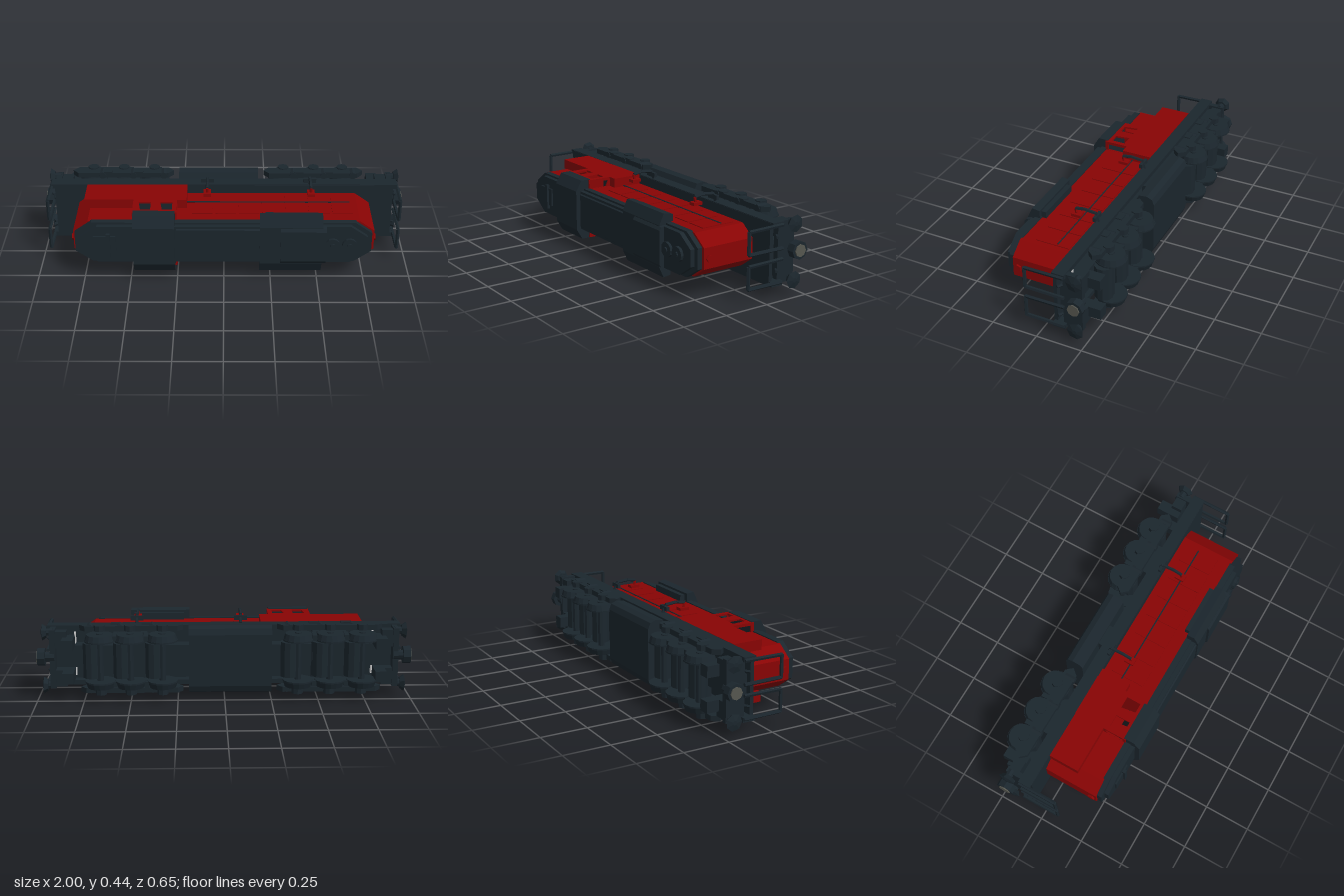
import * as THREE from 'three';

// The locomotive lies on its side: length along x, roof towards +z, wheels towards -z.
const MID = 0.22; // centre line in y
const mat = (color) => new THREE.MeshStandardMaterial({ color, flatShading: true, side: THREE.DoubleSide });

export function createModel() {
  const root = new THREE.Group();
  root.name = 'locomotive';
  const dark = mat(0x1b262d), red = mat(0x880404), steel = mat(0x55564f), grey = mat(0xcccccc);

  const add = (name, geo, m) => {
    const mesh = new THREE.Mesh(geo, m);
    mesh.name = name;
    root.add(mesh);
    return mesh;
  };
  const box = (name, m, x0, x1, y0, y1, z0, z1) =>
    add(name, new THREE.BoxGeometry(x1 - x0, y1 - y0, z1 - z0)
      .translate((x0 + x1) / 2, (y0 + y1) / 2, (z0 + z1) / 2), m);
  // Same box on both sides of the centre line; a and b are distances from it
  const pair = (name, m, x0, x1, a, b, z0, z1) => {
    box(name, m, x0, x1, MID + a, MID + b, z0, z1);
    box(name, m, x0, x1, MID - b, MID - a, z0, z1);
  };
  const toShape = (pts) => new THREE.Shape(pts.map(([a, b]) => new THREE.Vector2(a, b)));
  const extrude = (shape, depth) => new THREE.ExtrudeGeometry(shape, { depth, bevelEnabled: false });
  const alongX = new THREE.Matrix4().makeBasis(
    new THREE.Vector3(0, 1, 0), new THREE.Vector3(0, 0, 1), new THREE.Vector3(1, 0, 0));
  const alongY = new THREE.Matrix4().makeBasis(
    new THREE.Vector3(1, 0, 0), new THREE.Vector3(0, 0, 1), new THREE.Vector3(0, -1, 0));
  // Cross-section of (distance from centre line, z), mirrored, run along x
  const section = (name, m, half, x0, x1) => {
    const pts = [...half, ...half.slice().reverse().map(([a, z]) => [-a, z])];
    add(name, extrude(toShape(pts.map(([a, z]) => [a + MID, z])), x1 - x0).applyMatrix4(alongX).translate(x0, 0, 0), m);
  };
  // Side profile of (x, z), run across from y0 to y1
  const profile = (name, m, pts, y0, y1, holes = []) => {
    const s = toShape(pts);
    s.holes = holes.map((h) => toShape(h));
    add(name, extrude(s, y1 - y0).applyMatrix4(alongY).translate(0, y1, 0), m);
  };
  // Plan outline with chamfered ends (tip = half width of the end face), run upwards
  const plan = (name, m, x0, x1, half, tip, cut0, cut1, z0, z1) => {
    const side = [[x0, tip], [x0 + cut0, half], [x1 - cut1, half], [x1, tip]];
    const pts = [...side, ...side.slice().reverse().map(([x, a]) => [x, -a])];
    add(name, extrude(toShape(pts.map(([x, a]) => [x, a + MID])), z1 - z0).translate(0, 0, z0), m);
  };
  const rect = (a0, a1, b0, b1) => [[a0, b0], [a1, b0], [a1, b1], [a0, b1]];
  const rod = (name, m, pts, r) => {
    for (let i = 1; i < pts.length; i++) {
      const a = new THREE.Vector3(...pts[i - 1]), b = new THREE.Vector3(...pts[i]);
      const mesh = add(name, new THREE.CylinderGeometry(r, r, a.distanceTo(b), 5), m);
      mesh.position.copy(a).lerp(b, 0.5);
      mesh.quaternion.setFromUnitVectors(new THREE.Vector3(0, 1, 0), b.clone().sub(a).normalize());
    }
  };
  // r is the radius at the positive end of the axis, r2 at the negative end
  const disc = (name, m, x, y, z, r, len, axis, sides = 12, r2 = r) => {
    const g = new THREE.CylinderGeometry(r, r2, len, sides);
    if (axis === 'x') g.rotateZ(-Math.PI / 2);
    if (axis === 'z') g.rotateX(Math.PI / 2);
    add(name, g.translate(x, y, z), m);
  };

  // Hood and nose
  plan('engineHood', red, -0.25, 0.8, 0.113, 0.055, 0, 0.08, -0.068, 0.235);
  plan('nose', red, -0.8, -0.48, 0.113, 0.055, 0.08, 0, -0.068, 0.235);
  pair('noseShoulder', red, -0.75, -0.48, 0.11, 0.165, -0.068, 0.1);
  pair('cabinet', red, -0.25, -0.2, 0.11, 0.165, -0.068, 0.1);
  box('batteryBox', red, -0.03, 0.08, 0.058, 0.11, -0.068, 0.06);

  // Cab: side walls with two windows, end walls with a window each side of the hood
  const sideWindows = [[-0.455, -0.39], [-0.34, -0.275]].map(([a, b]) =>
    [[a, 0.125], [b, 0.125], [b, 0.205], [a + 0.012, 0.205]]);
  for (const y of [MID - 0.165, MID + 0.155])
    profile('cabSide', red, rect(-0.485, -0.25, -0.07, 0.235), y, y + 0.01, sideWindows);
  for (const x of [-0.485, -0.258]) {
    const s = toShape(rect(0.055, 0.385, -0.07, 0.235));
    s.holes = [1, -1].map((d) => toShape([[0.114, 0.125], [0.149, 0.11], [0.149, 0.215], [0.114, 0.215]]
      .map(([a, z]) => [MID + d * a, z])));
    add('cabEndWall', extrude(s, 0.008).applyMatrix4(alongX).translate(x, 0, 0), red);
  }
  box('cabFloor', dark, -0.48, -0.25, 0.06, 0.38, -0.07, 0);

  // Roof, tapered at both ends like the hood below it
  plan('roofEdge', dark, -0.79, 0.785, 0.118, 0.055, 0.09, 0.09, 0.228, 0.262);
  plan('roofTop', dark, -0.76, 0.76, 0.108, 0.045, 0.09, 0.09, 0.262, 0.287);
  section('cabRoof', dark, [[0.168, 0.222], [0.168, 0.28], [0.11, 0.314]], -0.48, -0.26);
  section('radiatorRoof', dark, [[0.162, 0.232], [0.168, 0.275], [0.11, 0.302]], 0.19, 0.52);
  section('roofHatch', dark, [[0.11, 0.28], [0.105, 0.303], [0.09, 0.314]], 0.3, 0.54);
  section('roofSpine', dark, [[0.1, 0.28], [0.09, 0.295]], -0.25, 0.19);
  pair('radiatorGrille', dark, 0.22, 0.5, 0.11, 0.15, 0.205, 0.24);
  for (const x of [0.575, 0.665]) {
    disc('roofFan', dark, x, MID, 0.29, 0.04, 0.024, 'z', 12);
    disc('fanHub', dark, x, MID, 0.3, 0.014, 0.018, 'z', 8);
  }
  box('noseVent', dark, -0.69, -0.57, 0.17, 0.27, 0.28, 0.296);
  box('horn', dark, -0.62, -0.6, 0.15, 0.29, 0.29, 0.308);
  for (const s of [-1, 1]) disc('headlamp', red, s * 0.8, MID, 0.205, 0.02, 0.02, 'x', 5);

  // Hood doors on both sides
  for (let i = 0; i < 7; i++) pair('hoodDoor', red, -0.17 + i * 0.125, -0.06 + i * 0.125, 0.112, 0.117, -0.03, 0.16);

  // Underframe and walkway
  box('walkway', dark, -0.93, 0.93, 0.058, 0.382, -0.088, -0.068);
  pair('sideSill', dark, -0.95, 0.95, 0.14, 0.165, -0.138, -0.07);
  box('centreSill', dark, -0.9, 0.9, 0.16, 0.28, -0.16, -0.088);
  for (const s of [-1, 1]) {
    const X = (a, b) => (s > 0 ? [a, b] : [-b, -a]);
    box('endPlate', dark, ...X(0.9, 0.93), 0.06, 0.38, -0.225, -0.12);
    pair('endPanel', grey, ...X(0.8, 0.81), 0.06, 0.12, -0.112, -0.09);
    pair('bufferBeam', dark, ...X(0.84, 0.92), 0.06, 0.15, -0.22, -0.16);
    pair('endStep', dark, ...X(0.8, 0.86), 0.06, 0.12, -0.288, -0.16);
    // Coupler and buffers
    disc('couplerShank', dark, s * 0.945, MID + 0.013, -0.21, 0.026, 0.08, 'x', 8);
    disc('couplerHead', dark, s * 0.974, MID + 0.013, -0.21, 0.048, 0.04, 'x', 8);
    disc('couplerFace', steel, s * 0.994, MID + 0.013, -0.21, 0.033, 0.012, 'x', 8);
    for (const d of [-0.146, 0.146]) {
      disc('bufferStem', dark, s * 0.935, MID + d, -0.2, 0.02, 0.05, 'x', 8);
      disc('buffer', dark, s * 0.955, MID + d, -0.2, s > 0 ? 0.046 : 0.03, 0.022, 'x', 7, s > 0 ? 0.03 : 0.046);
      disc('bufferDome', dark, s * 0.97, MID + d, -0.2, s > 0 ? 0.012 : 0.046, 0.008, 'x', 7, s > 0 ? 0.046 : 0.012);
      // End handrail hoop
      const c = MID + Math.sign(d) * 0.088, x = s * 0.95;
      rod('endHandrail', dark, [[x, c - 0.06, -0.135], [x, c - 0.058, 0.08], [x, c + 0.058, 0.08], [x, c + 0.06, -0.135]], 0.01);
      rod('endBrace', dark, [[s * 0.92, c, -0.12], [x, c, -0.1]], 0.008);
    }
  }

  // Mirror and rail brackets on curved stanchions, two on each side
  for (const d of [-1, 1]) {
    const Y = (a) => MID + d * a;
    for (const x of [-0.09, 0.47]) {
      rod('stanchion', dark, [[x, Y(0.165), -0.088], [x, Y(0.207), -0.072], [x, Y(0.214), -0.005], [x, Y(0.206), 0.045]], 0.009);
      box('stanchionBar', dark, x - 0.035, x + 0.035, Y(0.19) - 0.012, Y(0.19) + 0.012, -0.085, -0.068);
      rod('railBracket', red, [[x, Y(0.206), 0.045], [x, Y(0.178), 0.04]], 0.008);
      box('railPad', red, x - 0.02, x + 0.02, Y(0.172) - 0.008, Y(0.172) + 0.008, 0.01, 0.065);
    }
    rod('sideHandrail', dark, [[-0.26, Y(0.118), 0.04], [0.68, Y(0.118), 0.04]], 0.004);
  }

  // Fuel tank
  section('fuelTank', dark, [[0.14, -0.268], [0.172, -0.255], [0.184, -0.225], [0.18, -0.18], [0.15, -0.165]], -0.25, 0.19);
  box('tankMount', dark, -0.08, 0.04, 0.08, 0.36, -0.17, -0.13);

  // Three-axle bogies
  for (const xs of [[-0.73, -0.56, -0.39], [0.33, 0.5, 0.66]]) {
    const a = xs[0] - 0.08, b = xs[2] + 0.08;
    for (const d of [-1, 1]) {
      const y = MID + d * 0.17;
      profile('bogieFrame', dark, [[a, -0.165], [a - 0.03, -0.2], [a, -0.235], [b, -0.235], [b + 0.03, -0.2], [b, -0.165]],
        y - 0.014, y + 0.014);
    }
    box('bogieBolster', dark, xs[1] - 0.09, xs[1] + 0.09, 0.08, 0.36, -0.2, -0.13);
    for (const x of xs) {
      for (const d of [-1, 1]) {
        disc('wheel', dark, x, MID + d * 0.13, -0.25, d > 0 ? 0.07 : 0.08, 0.03, 'y', 16, d > 0 ? 0.08 : 0.07);
        disc('wheelFlange', dark, x, MID + d * 0.111, -0.25, 0.082, 0.008, 'y', 16);
        disc('axleBox', dark, x, MID + d * 0.175, -0.235, 0.03, 0.03, 'y', 8);
        disc('spring', dark, x + 0.055, MID + d * 0.17, -0.19, 0.02, 0.06, 'z', 8);
      }
      disc('axle', dark, x, MID, -0.25, 0.018, 0.3, 'y', 8);
      disc('tractionMotor', dark, x + 0.045, MID, -0.23, 0.048, 0.19, 'y', 10);
    }
    for (const x of [(xs[0] + xs[1]) / 2, (xs[1] + xs[2]) / 2]) {
      pair('brakeCylinder', dark, x - 0.025, x + 0.025, 0.165, 0.19, -0.2, -0.165);
      pair('brakeShoe', dark, x - 0.012, x + 0.012, 0.11, 0.14, -0.28, -0.2);
    }
  }
  return root;
}
